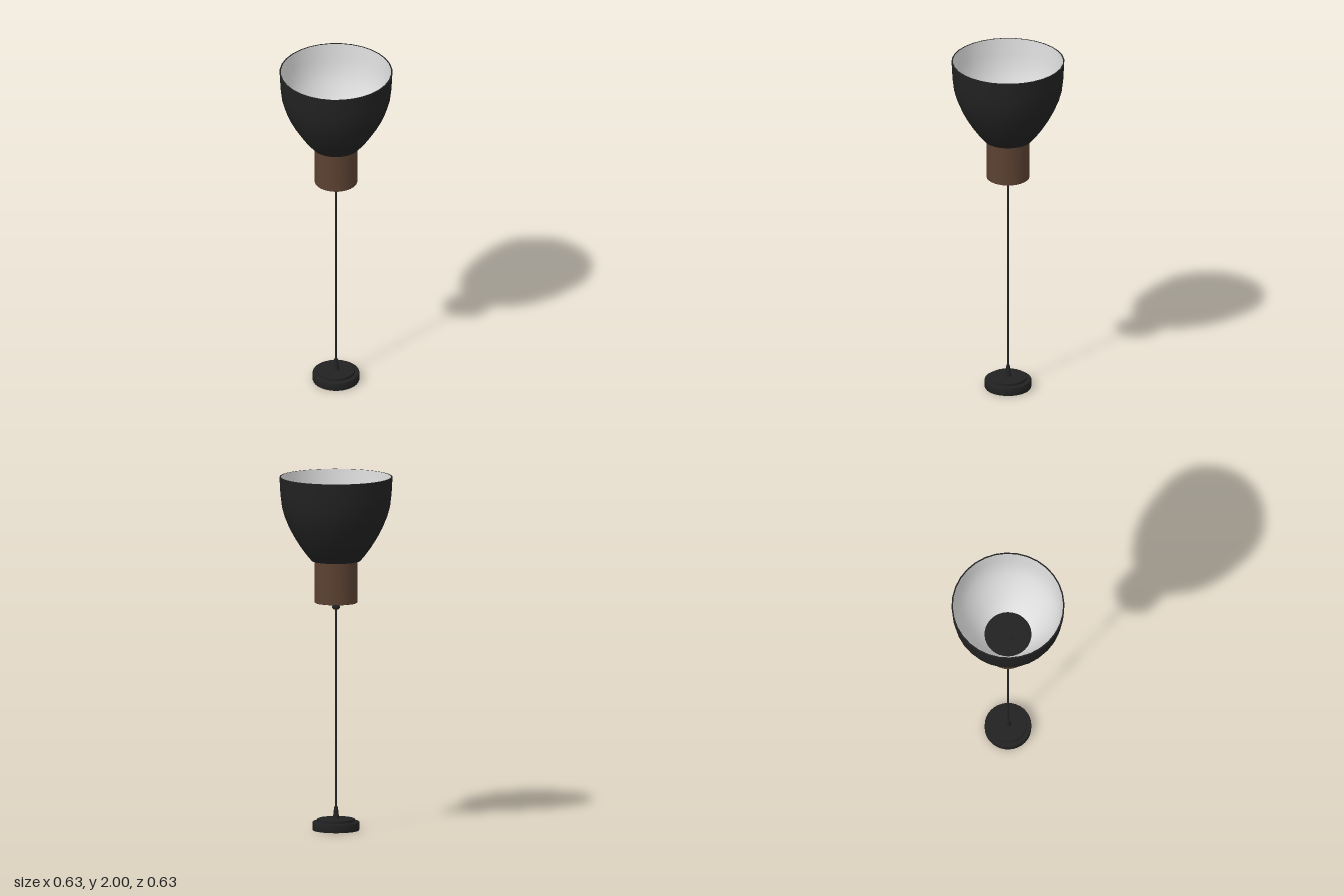
import * as THREE from 'three';
import { toCreasedNormals } from 'three/addons/utils/BufferGeometryUtils.js';

const SEGMENTS = 32;

function material(name, color) {
  const m = new THREE.MeshStandardMaterial({ color });
  m.name = name;
  return m;
}

// Revolve a [radius, height] profile; outer walls run upwards, inner walls downwards
function turned(name, profile, mat, segments = SEGMENTS) {
  const points = profile.map(([r, y]) => new THREE.Vector2(r, y));
  const mesh = new THREE.Mesh(toCreasedNormals(new THREE.LatheGeometry(points, segments), 0.6), mat);
  mesh.name = name;
  return mesh;
}

export function createModel() {
  const black = material('matte black', 0x222222);
  const wood = material('dark wood', 0x5a4131);
  const white = material('inner white', 0xdedede);

  const lamp = new THREE.Group();
  lamp.name = 'pendantLamp';

  // Bell curve of the shade
  const bell = [
    [0.137, 1.525], [0.165, 1.558], [0.2, 1.606], [0.235, 1.662], [0.263, 1.715],
    [0.287, 1.773], [0.303, 1.83], [0.312, 1.905], [0.317, 2],
  ];
  const wall = 0.008;
  const lining = bell.map(([r, y]) => [r - wall, y]).reverse();
  lining[lining.length - 1] = [0.132, 1.531];

  lamp.add(
    // Shade: dark outside with rim, pale lining
    turned('shadeOuter', [[0.115, 1.525], ...bell, [0.317 - wall, 2]], black),
    turned('shadeLining', lining, white),
    // Floor of the shade with a raised plate and a small socket ring
    turned('shadeFloor', [[0.134, 1.531], [0.12, 1.531], [0.119, 1.534], [0, 1.534]], black, 48),
    turned('socketRing', [[0.04, 1.534], [0.04, 1.541], [0.032, 1.541], [0.031, 1.537], [0, 1.537]], black),
    // Wooden neck and its dark end plate
    turned('woodNeck', [[0.112, 1.29], [0.12, 1.29], [0.12, 1.526]], wood, 48),
    turned('neckEndPlate', [[0, 1.288], [0.117, 1.288], [0.117, 1.292]], black, 48),
    // Cord grip under the neck
    turned('cordGrip', [
      [0, 1.25], [0.014, 1.25], [0.022, 1.257], [0.022, 1.268], [0.016, 1.272],
      [0.016, 1.277], [0.024, 1.28], [0.024, 1.289],
    ], black, 20),
    turned('cord', [[0.0055, 0.12], [0.0055, 1.255]], black, 12),
    // Stepped ceiling plate and tapered cord stem
    turned('ceilingPlate', [
      [0, 0], [0.13, 0], [0.131, 0.003], [0.131, 0.046], [0.129, 0.049], [0.106, 0.049],
      [0.106, 0.063], [0.104, 0.065], [0, 0.065],
    ], black),
    turned('cordStem', [
      [0.019, 0.064], [0.017, 0.07], [0.014, 0.105], [0.009, 0.134], [0, 0.136],
    ], black, 20),
  );
  return lamp;
}
